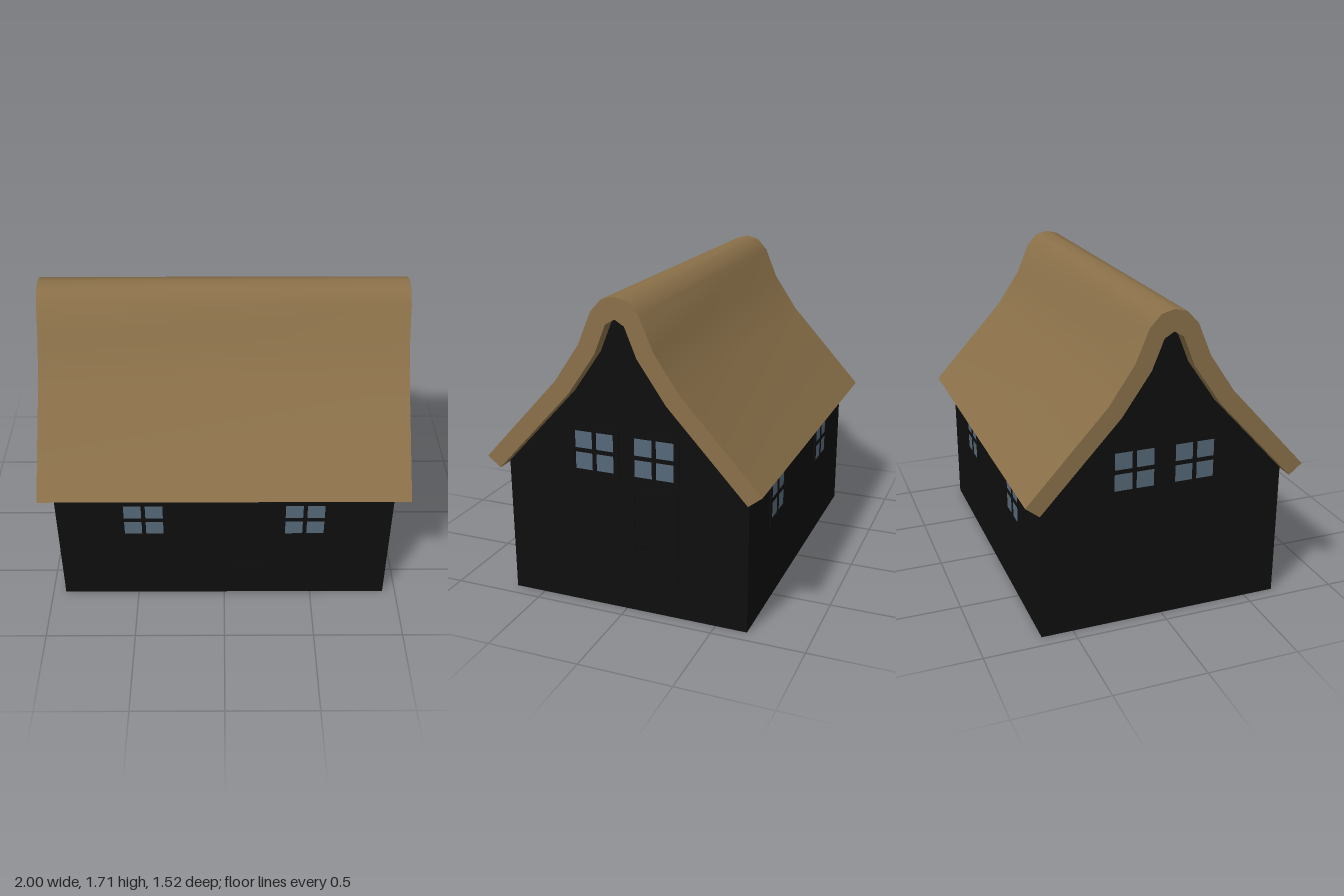
import * as THREE from 'three';
import { toCreasedNormals } from 'three/addons/utils/BufferGeometryUtils.js';

const mat = (color) => new THREE.MeshStandardMaterial({ color });
const thatch = mat(0x8a7049), dark = mat(0x0e0e0e), pane = mat(0x566878);

const WALL_X = 0.927, WALL_Z = 0.672;

// half profiles as [z, y], from eave to ridge
const OUTER = [[0.76, 0.79], [0.335, 1.253], [0.2, 1.452], [0.127, 1.625], [0.068, 1.688], [0, 1.706]];
const INNER = [[0.688, 0.733], [0.265, 1.19], [0.113, 1.41], [0.05, 1.565], [0, 1.595]];

const mirrored = (half) => [...half, ...half.slice(0, -1).reverse().map(([z, y]) => [-z, y])];
const toShape = (pts) => new THREE.Shape(pts.map(([x, y]) => new THREE.Vector2(x, y)));

function named(name, geometry, material) {
  const m = new THREE.Mesh(geometry, material);
  m.name = name;
  return m;
}

// sweep a gable cross-section along the length of the house
function alongX(pts, length) {
  return new THREE.ExtrudeGeometry(toShape(pts), { depth: length, bevelEnabled: false })
    .translate(0, 0, -length / 2)
    .rotateY(Math.PI / 2);
}

function rect(Type, x0, y0, x1, y1) {
  return new Type([[x0, y0], [x1, y0], [x1, y1], [x0, y1]].map((p) => new THREE.Vector2(...p)));
}

// frame around a w by h opening, centred on the origin and facing +z
function frame(w, h, border, depth, holes) {
  const s = rect(THREE.Shape, -w / 2 - border, -h / 2 - border, w / 2 + border, h / 2 + border);
  s.holes = holes.map((r) => rect(THREE.Path, ...r));
  return new THREE.ExtrudeGeometry(s, { depth, bevelEnabled: false });
}

// four-pane window
function makeWindow() {
  const w = 0.216, h = 0.21, bar = 0.011;
  const g = new THREE.Group();
  g.name = 'window';
  const holes = [];
  for (const [x0, x1] of [[-w / 2, -bar], [bar, w / 2]])
    for (const [y0, y1] of [[-h / 2, -bar], [bar, h / 2]]) holes.push([x0, y0, x1, y1]);
  const glass = named('glass', new THREE.PlaneGeometry(w, h), pane);
  glass.position.z = 0.002;
  g.add(named('windowFrame', frame(w, h, 0.03, 0.006, holes), dark), glass);
  return g;
}

// door with frame, leaf and knob
function makeDoor() {
  const w = 0.22, h = 0.44;
  const g = new THREE.Group();
  g.name = 'door';
  const leaf = named('doorLeaf', new THREE.BoxGeometry(w, h, 0.006), dark);
  const knob = named('doorKnob', new THREE.SphereGeometry(0.01, 12, 8), dark);
  knob.position.set(-0.065, -0.075, 0.006);
  g.add(named('doorFrame', frame(w, h, 0.022, 0.006, [[-w / 2, -h / 2, w / 2, h / 2]]), dark), leaf, knob);
  return g;
}

// place a fitting on a wall: u runs along the wall
function place(part, side, u, y) {
  if (side === 'front') part.position.set(u, y, WALL_Z);
  if (side === 'back') { part.position.set(u, y, -WALL_Z); part.rotation.y = Math.PI; }
  if (side === 'east') { part.position.set(WALL_X, y, u); part.rotation.y = Math.PI / 2; }
  if (side === 'west') { part.position.set(-WALL_X, y, u); part.rotation.y = -Math.PI / 2; }
  return part;
}

export function createModel() {
  const house = new THREE.Group();
  house.name = 'cottage';

  // walls with the curved gables, tucked slightly into the roof
  const gable = INNER.slice(1).map(([z, y]) => [z, y + 0.01]);
  const wallPts = mirrored([[WALL_Z, 0], [WALL_Z, 0.76], ...gable]);
  house.add(named('walls', alongX(wallPts, WALL_X * 2), dark));

  // thick thatched roof
  const roofPts = [...mirrored(OUTER), ...mirrored(INNER).reverse()];
  house.add(named('roof', toCreasedNormals(alongX(roofPts, 2), 0.75), thatch));

  // windows in pairs on every side
  for (const s of [-1, 1]) {
    for (const side of ['front', 'back']) house.add(place(makeWindow(), side, s * 0.446, 0.58));
    for (const side of ['east', 'west']) house.add(place(makeWindow(), side, s * 0.166, 0.871));
  }

  // doors
  house.add(place(makeDoor(), 'front', 0.13, 0.46));
  house.add(place(makeDoor(), 'east', -0.165, 0.46));
  return house;
}
